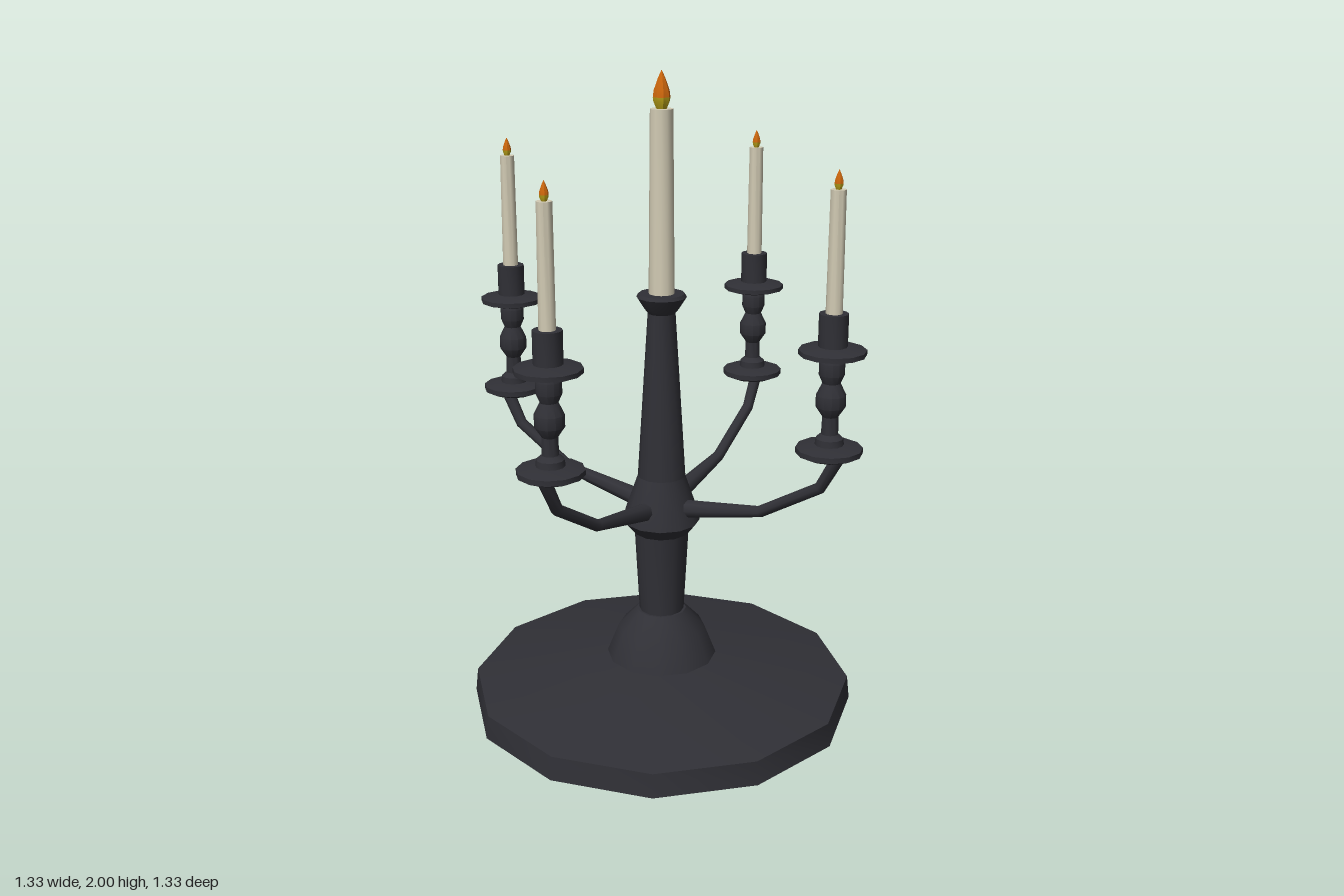
import * as THREE from 'three';
import { toCreasedNormals } from 'three/addons/utils/BufferGeometryUtils.js';

const iron = new THREE.MeshStandardMaterial({ color: 0x303036 });
const wax = new THREE.MeshStandardMaterial({ color: 0xd2cbb4 });
const flameOrange = new THREE.MeshStandardMaterial({ color: 0xcc660c });
const flameYellow = new THREE.MeshStandardMaterial({ color: 0xb8a018 });

// Turned part from [radius, height] pairs, listed bottom to top
function turned(name, profile, material, sides = 12) {
  const points = profile.map(([r, y]) => new THREE.Vector2(r, y));
  const geometry = toCreasedNormals(new THREE.LatheGeometry(points, sides), 0.6);
  const mesh = new THREE.Mesh(geometry, material);
  mesh.name = name;
  return mesh;
}

// Tapered, mitred bar through [x, y, radius] stations in the xy plane
function taperedBar(name, stations, material, sides = 8) {
  const pts = stations.map(([x, y]) => new THREE.Vector2(x, y));
  const positions = [];
  const index = [];
  stations.forEach(([x, y, r], i) => {
    const before = pts[Math.max(i - 1, 0)];
    const after = pts[Math.min(i + 1, pts.length - 1)];
    const a = pts[i].clone().sub(before).normalize();
    const b = after.clone().sub(pts[i]).normalize();
    const t = a.add(b).normalize();
    for (let j = 0; j < sides; j++) {
      const angle = (j / sides) * Math.PI * 2;
      const c = Math.cos(angle) * r;
      positions.push(x - t.y * c, y + t.x * c, Math.sin(angle) * r);
      if (i === 0) continue;
      const k = (j + 1) % sides;
      const lo = (i - 1) * sides;
      const hi = i * sides;
      index.push(lo + j, hi + j, lo + k, lo + k, hi + j, hi + k);
    }
  });
  // end caps
  const last = (stations.length - 1) * sides;
  for (let j = 1; j < sides - 1; j++) {
    index.push(0, j, j + 1, last, last + j + 1, last + j);
  }
  // wind the faces outward
  for (let i = 0; i < index.length; i += 3) {
    [index[i + 1], index[i + 2]] = [index[i + 2], index[i + 1]];
  }
  const geometry = new THREE.BufferGeometry();
  geometry.setAttribute('position', new THREE.Float32BufferAttribute(positions, 3));
  geometry.setIndex(index);
  orientOutward(geometry);
  const mesh = new THREE.Mesh(toCreasedNormals(geometry, 0.85), material);
  mesh.name = name;
  return mesh;
}

// Flip a closed surface whose signed volume is negative
function orientOutward(geometry) {
  const p = geometry.attributes.position;
  const idx = geometry.index.array;
  const [a, b, c] = [new THREE.Vector3(), new THREE.Vector3(), new THREE.Vector3()];
  let volume = 0;
  for (let i = 0; i < idx.length; i += 3) {
    a.fromBufferAttribute(p, idx[i]);
    b.fromBufferAttribute(p, idx[i + 1]);
    c.fromBufferAttribute(p, idx[i + 2]);
    volume += a.dot(b.cross(c));
  }
  if (volume < 0) {
    for (let i = 0; i < idx.length; i += 3) [idx[i + 1], idx[i + 2]] = [idx[i + 2], idx[i + 1]];
  }
}

// Wax candle with a two-tone flame
function candle(bottom, top, rBottom, rTop, flameHeight, flameRadius) {
  const group = new THREE.Group();
  group.name = 'candle';
  const h = flameHeight;
  const r = flameRadius;
  group.add(
    turned('candleWax', [[0, bottom], [rBottom, bottom], [rTop, top], [0, top]], wax),
    turned('flameBase', [[0, top], [r * 0.6, top], [r * 0.95, top + h * 0.2], [r, top + h * 0.3]], flameYellow, 8),
    turned('flameTip', [[r, top + h * 0.3], [r * 0.9, top + h * 0.48], [r * 0.4, top + h * 0.8], [0, top + h]], flameOrange, 8),
  );
  return group;
}

// One arm with its candle holder, reaching along +x
function createBranch() {
  const branch = new THREE.Group();
  branch.name = 'branch';
  branch.add(taperedBar('arm', [
    [0.05, 0.665, 0.031], [0.10, 0.672, 0.029], [0.35, 0.718, 0.018],
    [0.545, 0.835, 0.018], [0.607, 0.95, 0.02],
  ], iron));

  const holder = new THREE.Group();
  holder.name = 'candleHolder';
  holder.position.x = 0.57;
  holder.add(
    turned('lowerDish', [
      [0, 0.938], [0.07, 0.938], [0.097, 0.95], [0.097, 0.966], [0.05, 0.976], [0.042, 0.976],
      [0.04, 0.995], [0.025, 1.008], [0, 1.008],
    ], iron),
    turned('baluster', [
      [0.025, 1.0], [0.023, 1.06], [0.043, 1.09], [0.043, 1.125], [0.026, 1.16],
      [0.037, 1.185], [0.037, 1.22], [0.03, 1.24],
    ], iron),
    turned('dripDish', [
      [0, 1.232], [0.055, 1.232], [0.097, 1.244], [0.097, 1.258], [0.05, 1.268], [0, 1.268],
    ], iron),
    turned('candleCup', [[0.042, 1.265], [0.042, 1.363], [0, 1.363]], iron),
    candle(1.355, 1.71, 0.024, 0.022, 0.055, 0.013),
  );
  branch.add(holder);
  return branch;
}

export function createModel() {
  const model = new THREE.Group();
  model.name = 'candelabra';

  // Wide faceted base
  model.add(turned('base', [[0, 0], [0.61, 0], [0.602, 0.075], [0.17, 0.157], [0, 0.157]], iron));

  // Central column: foot, stem, collar and tapering shaft with a flared cup
  model.add(
    turned('foot', [[0.176, 0.152], [0.137, 0.25], [0.078, 0.312], [0, 0.312]], iron),
    turned('stem', [[0.07, 0.30], [0.085, 0.585]], iron),
    turned('collar', [[0, 0.58], [0.088, 0.58], [0.12, 0.618], [0.112, 0.655], [0.074, 0.765]], iron),
    turned('shaft', [
      [0.074, 0.765], [0.042, 1.285], [0.052, 1.297], [0.076, 1.335], [0.07, 1.345], [0, 1.345],
    ], iron),
    candle(1.34, 1.89, 0.039, 0.034, 0.11, 0.026),
  );

  // Four branches at right angles
  for (let i = 0; i < 4; i++) {
    const branch = createBranch();
    branch.rotation.y = (i * Math.PI) / 2;
    model.add(branch);
  }
  return model;
}
